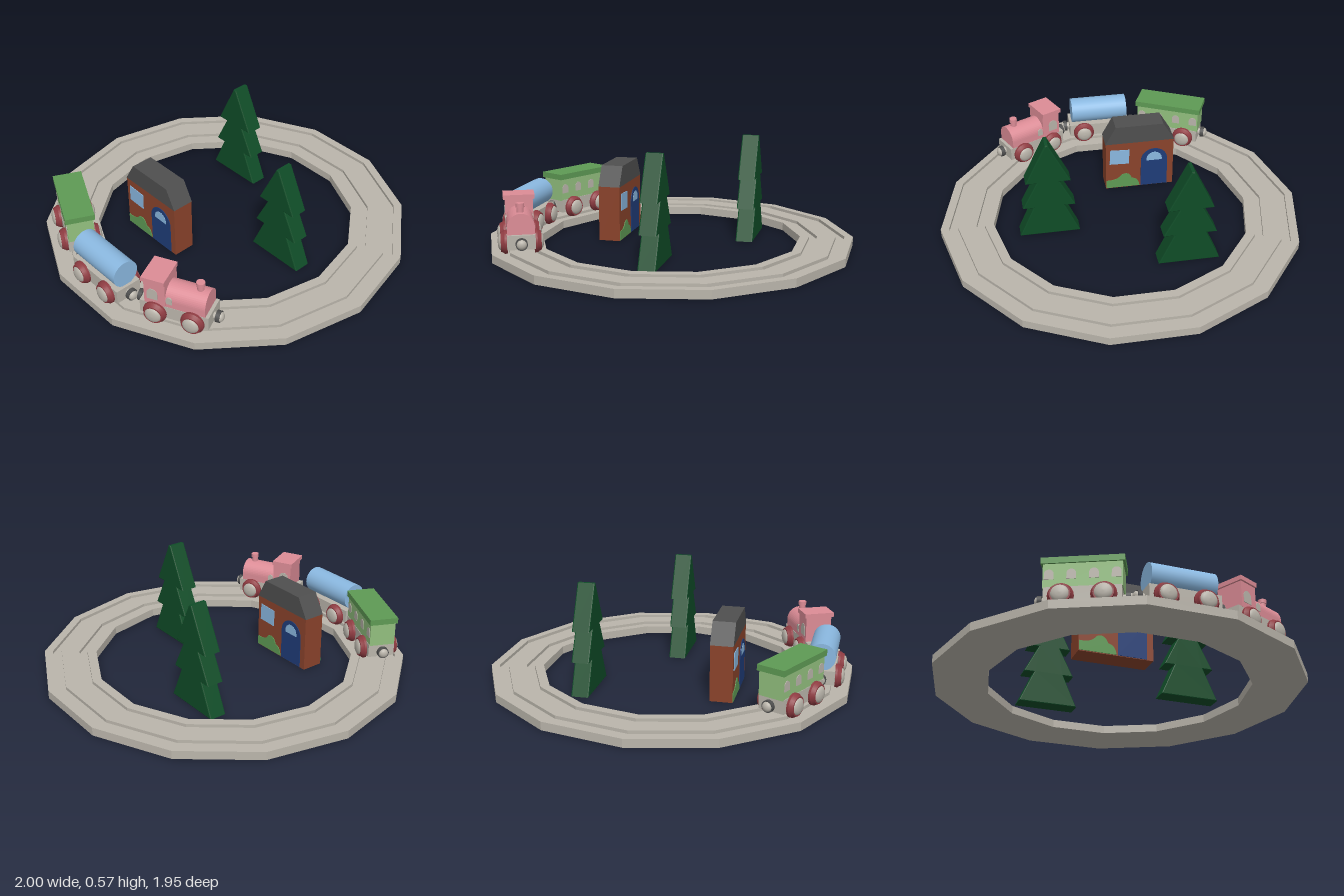
import * as THREE from 'three';

const mat = (name, color, extra = {}) => Object.assign(new THREE.MeshStandardMaterial({ color, ...extra }), { name });

export function createModel() {
  const M = {
    stone: mat('warm grey', 0xbab5ab),
    red: mat('wheel red', 0x8f3c42),
    grey: mat('dark grey', 0x4f4f4f),
    pink: mat('pink', 0xdc8c96),
    blue: mat('light blue', 0x8ab8e0),
    lightGreen: mat('light green', 0x92bf7e),
    green: mat('leaf green', 0x5e9a54),
    tree: mat('dark green', 0x0f4c27),
    brown: mat('brick brown', 0x8a432b),
    navy: mat('navy', 0x1f3c78),
  };
  const model = new THREE.Group();
  model.name = 'trainSet';

  const add = (parent, name, geo, material, x = 0, y = 0, z = 0) => {
    const m = new THREE.Mesh(geo, material);
    m.name = name;
    m.position.set(x, y, z);
    parent.add(m);
    return m;
  };
  const group = (parent, name, x = 0, y = 0, z = 0, yaw = 0) => {
    const g = new THREE.Group();
    g.name = name;
    g.position.set(x, y, z);
    g.rotation.y = yaw;
    parent.add(g);
    return g;
  };
  const box = (w, h, d) => new THREE.BoxGeometry(w, h, d);
  const shapeOf = pts => new THREE.Shape(pts.map(p => new THREE.Vector2(...p)));
  // Extrusion centred on z, with an optional small bevel kept inside the depth
  const slab = (shape, depth, bevel = 0) => {
    const g = new THREE.ExtrudeGeometry(shape, {
      depth: depth - 2 * bevel, bevelEnabled: bevel > 0, bevelThickness: bevel,
      bevelSize: bevel, bevelOffset: -bevel, bevelSegments: 2, curveSegments: 12,
    });
    return g.translate(0, 0, -depth / 2 + bevel);
  };
  // Upright opening with a round top, base at y = 0
  const arch = (w, h) => {
    const r = w / 2, s = new THREE.Shape();
    s.moveTo(-r, 0);
    s.lineTo(r, 0);
    s.lineTo(r, h - r);
    s.absarc(0, h - r, r, 0, Math.PI, false);
    s.closePath();
    return s;
  };

  // Fourteen-sided ring of track with two wheel grooves
  const ring = [
    [0.71, 0], [1, 0], [1, 0.045], [0.954, 0.045], [0.954, 0.028], [0.905, 0.028], [0.905, 0.045],
    [0.805, 0.045], [0.805, 0.028], [0.76, 0.028], [0.76, 0.045], [0.71, 0.045], [0.71, 0],
  ].map(p => new THREE.Vector2(...p));
  const trackGeo = new THREE.LatheGeometry(ring, 14, Math.PI / 2).toNonIndexed();
  trackGeo.computeVertexNormals();
  add(model, 'track', trackGeo, M.stone);

  // Flat fir trees with three tiers
  const half = [[0.165, 0], [0.085, 0.18], [0.143, 0.18], [0.062, 0.34], [0.122, 0.34], [0.008, 0.575]];
  const treeGeo = slab(shapeOf([...half, ...half.map(([x, y]) => [-x, y]).reverse()]), 0.095, 0.006);
  add(model, 'backTree', treeGeo, M.tree, -0.295, 0, -0.385);
  add(model, 'sideTree', treeGeo, M.tree, 0.405, 0, -0.025);

  // House with the same painted face on front and back
  const house = group(model, 'house', -0.16, 0, 0.343);
  add(house, 'walls', box(0.395, 0.305, 0.12), M.brown, 0, 0.1525, 0);
  add(house, 'roof', slab(shapeOf([[-0.2, 0.305], [0.2, 0.305], [0.14, 0.415], [-0.135, 0.415]]), 0.122), M.grey);
  const bush = new THREE.Shape();
  bush.moveTo(-0.195, 0.004);
  bush.lineTo(0, 0.004);
  bush.quadraticCurveTo(-0.005, 0.055, -0.045, 0.06);
  bush.quadraticCurveTo(-0.06, 0.11, -0.105, 0.09);
  bush.quadraticCurveTo(-0.13, 0.05, -0.195, 0.055);
  bush.closePath();
  for (const [side, yaw] of [['front', 0], ['back', Math.PI]]) {
    const face = group(house, side + 'Face', 0, 0, 0, yaw);
    add(face, 'door', slab(arch(0.155, 0.25), 0.004), M.navy, 0.085, 0.003, 0.0615);
    add(face, 'doorWindow', slab(arch(0.09, 0.055), 0.004), M.blue, 0.085, 0.175, 0.063);
    add(face, 'window', slab(shapeOf([[-0.058, -0.046], [0.054, -0.05], [0.058, 0.044], [-0.054, 0.049]]), 0.004),
      M.blue, -0.118, 0.215, 0.0615);
    add(face, 'bush', slab(bush, 0.004), M.green, 0, 0, 0.0615);
  }

  // Wheel parts, turned around z with the outside facing +z
  const lathe = pts => new THREE.LatheGeometry(pts.map(p => new THREE.Vector2(...p)), 24).rotateX(Math.PI / 2);
  const tyreGeo = lathe([[0, 0.07], [0.062, 0.07], [0.062, 0.07], [0.062, 0.084], [0.062, 0.084],
    [0.056, 0.092], [0.05, 0.104], [0.05, 0.104], [0, 0.104]]);
  const hubGeo = lathe([[0.044, 0.102], [0.041, 0.108], [0.032, 0.114], [0.018, 0.118], [0, 0.119]]);
  // Coupling parts, pointing along +x
  const stubGeo = new THREE.CylinderGeometry(0.02, 0.02, 0.03, 16).rotateZ(Math.PI / 2);
  const discGeo = new THREE.CylinderGeometry(0.031, 0.031, 0.022, 20).rotateZ(Math.PI / 2);
  const capGeo = new THREE.SphereGeometry(0.026, 20, 12).scale(0.7, 1, 1);

  // Chassis with four wheels and a coupling at each end
  const car = (name, x, z, yaw) => {
    const g = group(model, name, x, 0, z, yaw);
    add(g, 'chassis', box(0.366, 0.075, 0.145), M.stone, 0, 0.1125, 0);
    for (const s of [-1, 1]) {
      for (const end of [-1, 1]) {
        const w = group(g, 'wheel', end * 0.1, 0.1, 0, s > 0 ? 0 : Math.PI);
        add(w, 'tyre', tyreGeo, M.red);
        add(w, 'hub', hubGeo, M.stone);
      }
      const c = group(g, 'coupling', 0, 0.11, 0, s > 0 ? 0 : Math.PI);
      add(c, 'stub', stubGeo, M.stone, 0.19, 0, 0);
      add(c, 'disc', discGeo, M.grey, 0.208, 0, 0);
      add(c, 'cap', capGeo, M.stone, 0.218, 0, 0);
    }
    return g;
  };
  const turn = Math.PI / 7;

  // Tank wagon
  const tank = car('tankWagon', 0, 0.832, 0);
  add(tank, 'tank', new THREE.CylinderGeometry(0.073, 0.073, 0.335, 32).rotateZ(Math.PI / 2), M.blue, 0, 0.218, 0);

  // Passenger carriage with four windows on each side
  const coach = car('carriage', -0.43, 0.71, -turn);
  add(coach, 'body', box(0.375, 0.13, 0.14), M.lightGreen, 0, 0.21, 0);
  add(coach, 'roof', box(0.396, 0.032, 0.156), M.green, 0, 0.289, 0);
  for (const s of [-1, 1])
    for (const x of [-0.158, -0.053, 0.053, 0.158])
      add(coach, 'window', slab(arch(0.045, 0.052), 0.004), M.stone, x, 0.19, s * 0.0708);

  // Locomotive with round-topped boiler and tall cab
  const loco = car('locomotive', 0.43, 0.707, turn);
  add(loco, 'boiler', slab(arch(0.142, 0.112), 0.215).rotateY(Math.PI / 2), M.pink, 0.0575, 0.148, 0);
  add(loco, 'cab', box(0.112, 0.145, 0.146), M.pink, -0.1, 0.2205, 0);
  add(loco, 'cabRoof', box(0.124, 0.024, 0.166), M.pink, -0.104, 0.302, 0);
  add(loco, 'chimney', new THREE.CylinderGeometry(0.018, 0.018, 0.06, 20), M.pink, 0.115, 0.265, 0);
  add(loco, 'chimneyCap', new THREE.CylinderGeometry(0.022, 0.022, 0.022, 20), M.pink, 0.115, 0.295, 0);
  for (const s of [-1, 1]) {
    add(loco, 'cabWindow', slab(arch(0.056, 0.066), 0.004), M.stone, -0.112, 0.18, s * 0.0738);
    add(loco, 'boilerWindow', slab(arch(0.032, 0.042), 0.006), M.stone, -0.024, 0.172, s * 0.0705);
  }
  return model;
}
